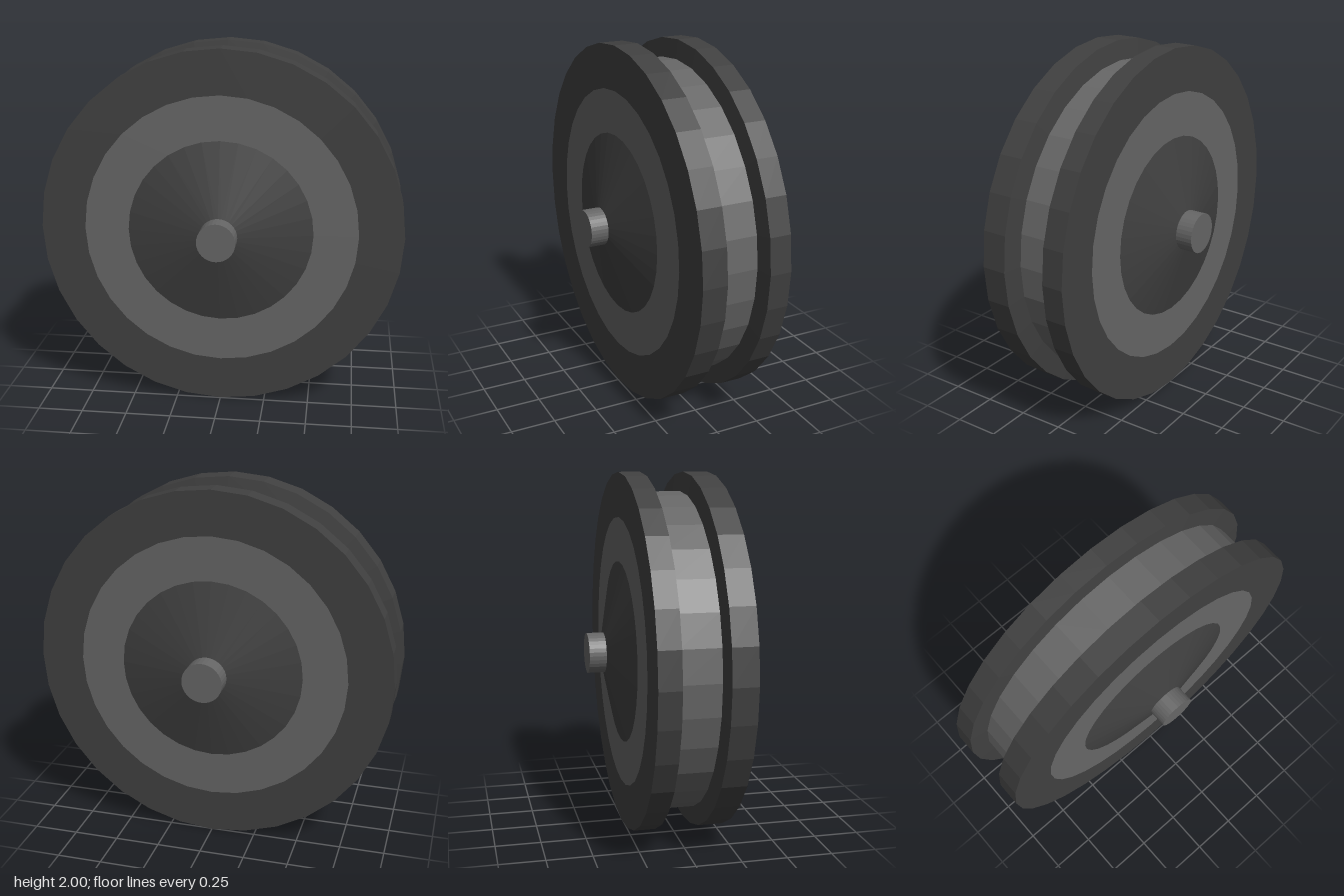
import * as THREE from 'three';

const SIDES = 32;
const dark = new THREE.MeshStandardMaterial({ color: 0x404040, flatShading: true });
const light = new THREE.MeshStandardMaterial({ color: 0x666666, flatShading: true });

// Turned part about the z axis; profile is [radius, z] from back to front
function turned(name, material, profile) {
  const points = profile.map(([r, z]) => new THREE.Vector2(r, z));
  const geometry = new THREE.LatheGeometry(points, SIDES).rotateX(Math.PI / 2);
  const mesh = new THREE.Mesh(geometry, material);
  mesh.name = name;
  return mesh;
}

export function createModel() {
  const wheel = new THREE.Group();
  wheel.name = 'wheel';

  // Floor of the groove between the two rims
  wheel.add(turned('grooveFloor', light, [[0.893, -0.125], [0.893, 0.092]]));

  // The two sides: outer face, groove edge, cone base, cone tip, pin end, pin radius
  const sides = [
    { name: 'front', s: 1, face: 0.245, lip: 0.108, floor: 0.092, tip: 0.34, end: 0.44, pin: 0.105 },
    { name: 'back', s: -1, face: 0.255, lip: 0.135, floor: 0.125, tip: 0.348, end: 0.443, pin: 0.112 },
  ];
  for (const { name, s, face, lip, floor, tip, end, pin } of sides) {
    // Profiles run outwards from the middle; the back ones are reversed
    const part = (label, material, profile) => {
      const points = profile.map(([r, z]) => [r, s * z]);
      wheel.add(turned(name + label, material, s > 0 ? points : points.reverse()));
    };
    part('Rim', dark, [[0.893, floor], [1, lip], [1, face], [0.755, face]]);
    part('Ring', light, [[0.755, face], [0.51, face]]);
    part('Cone', dark, [[0.51, face], [pin, tip]]);
    part('AxlePin', light, [[pin, tip], [pin, end], [0, end]]);
  }

  wheel.position.y = 1;
  const model = new THREE.Group();
  model.name = 'spool';
  model.add(wheel);
  return model;
}
